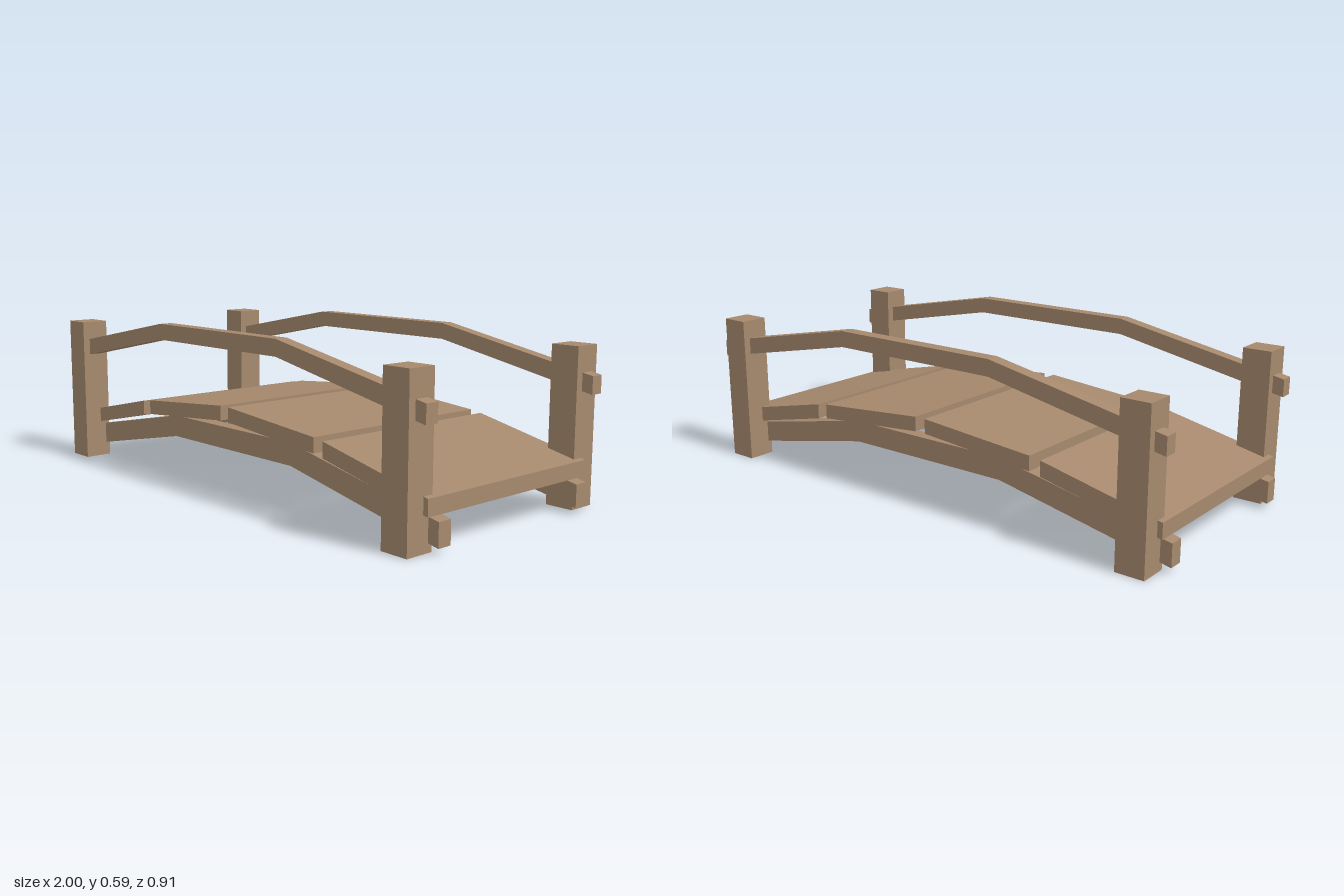
import * as THREE from 'three';

// Vertical-sided slab following a top line, with a matching bottom line, extruded along z
function slab(name, top, bottom, z0, z1, material) {
  const outline = [...top, ...[...bottom].reverse()];
  const shape = new THREE.Shape(outline.map(([x, y]) => new THREE.Vector2(x, y)));
  const geometry = new THREE.ExtrudeGeometry(shape, { depth: z1 - z0, bevelEnabled: false });
  geometry.translate(0, 0, z0);
  const mesh = new THREE.Mesh(geometry, material);
  mesh.name = name;
  return mesh;
}

// Three-segment arch line from its end height and crown height
const arch = (endY, crownY) => [[-1, endY], [-0.335, crownY], [0.335, crownY], [1, endY]];

export function createModel() {
  const bridge = new THREE.Group();
  bridge.name = 'footbridge';
  const wood = new THREE.MeshStandardMaterial({ color: 0xa6896d });
  wood.name = 'wood';

  for (const side of [1, -1]) {
    const sideName = side > 0 ? 'front' : 'back';
    const zSpan = (a, b) => (side > 0 ? [a, b] : [-b, -a]);

    // Handrail and supporting beam
    bridge.add(slab(sideName + 'Handrail', arch(0.46, 0.588), arch(0.397, 0.529), ...zSpan(0.38, 0.43), wood));
    bridge.add(slab(sideName + 'Beam', arch(0.103, 0.235), arch(0.022, 0.155), ...zSpan(0.313, 0.367), wood));

    // Corner posts
    for (const end of [1, -1]) {
      const post = new THREE.Mesh(new THREE.BoxGeometry(0.106, 0.558, 0.106), wood);
      post.name = sideName + (end > 0 ? 'Left' : 'Right') + 'Post';
      post.position.set(end * 0.906, 0.279, side * 0.404);
      bridge.add(post);
    }
  }

  // Deck planks: a shallow inner one and a steeper outer one on each half
  for (const end of [1, -1]) {
    const line = (xa, ya, xb, yb) => (end > 0 ? [[xa, ya], [xb, yb]] : [[-xb, yb], [-xa, ya]]);
    const half = end > 0 ? 'left' : 'right';
    bridge.add(slab(half + 'InnerPlank', line(0.022, 0.316, 0.477, 0.278), line(0.022, 0.262, 0.477, 0.224), -0.39, 0.39, wood));
    bridge.add(slab(half + 'OuterPlank', line(0.521, 0.271, 0.977, 0.172), line(0.521, 0.215, 0.977, 0.116), -0.39, 0.39, wood));
  }
  return bridge;
}
